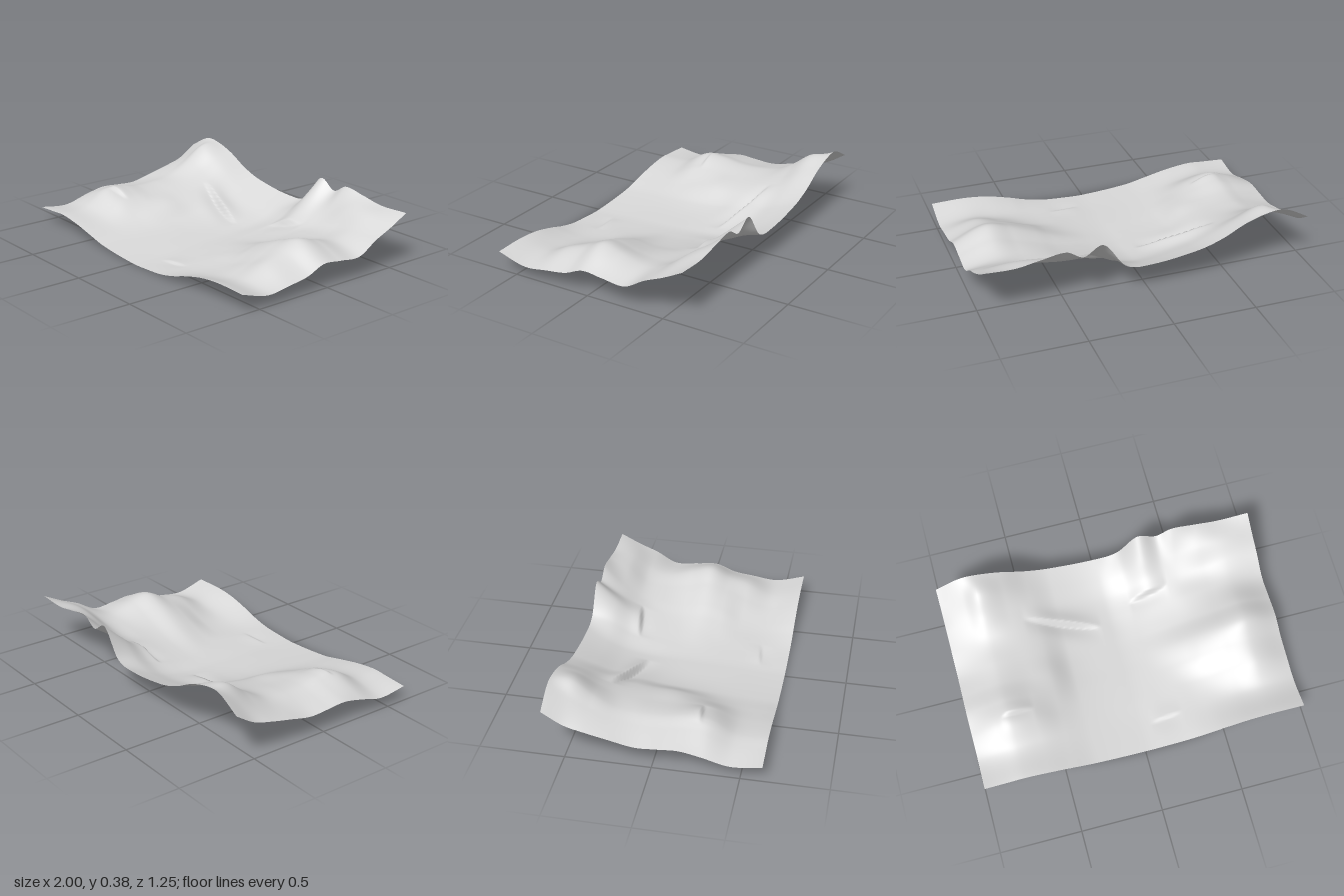
import * as THREE from 'three';

// Stations of the terrain cross-sections, and the height along x at each z
const XS = [-1, -0.85, -0.75, -0.6, -0.45, -0.3, 0, 0.15, 0.28, 0.4, 0.5, 0.65, 0.8, 1];
const SECTIONS = [
  { z: -0.623, y: [0.305, 0.38, 0.38, 0.335, 0.26, 0.212, 0.175, 0.2, 0.36, 0.305, 0.355, 0.335, 0.31, 0.315] },
  { z: -0.5, y: [0.23, 0.31, 0.365, 0.305, 0.23, 0.17, 0.125, 0.16, 0.25, 0.225, 0.24, 0.275, 0.28, 0.253] },
  { z: -0.38, y: [0.195, 0.245, 0.28, 0.24, 0.19, 0.13, 0.077, 0.1, 0.15, 0.155, 0.16, 0.18, 0.205, 0.202] },
  { z: -0.25, y: [0.165, 0.195, 0.21, 0.198, 0.165, 0.11, 0.052, 0.07, 0.095, 0.115, 0.135, 0.155, 0.17, 0.132] },
  { z: -0.1, y: [0.133, 0.17, 0.19, 0.175, 0.145, 0.078, 0.04, 0.05, 0.07, 0.095, 0.125, 0.17, 0.207, 0.142] },
  { z: 0.03, y: [0.138, 0.17, 0.19, 0.17, 0.14, 0.064, 0.034, 0.042, 0.066, 0.103, 0.144, 0.2, 0.238, 0.153] },
  { z: 0.15, y: [0.145, 0.185, 0.21, 0.175, 0.12, 0.056, 0.03, 0.035, 0.05, 0.08, 0.118, 0.165, 0.185, 0.108] },
  { z: 0.28, y: [0.12, 0.18, 0.208, 0.165, 0.092, 0.047, 0.024, 0.027, 0.036, 0.046, 0.066, 0.113, 0.15, 0.088] },
  { z: 0.44, y: [0.08, 0.11, 0.12, 0.1, 0.067, 0.038, 0.014, 0.018, 0.024, 0.032, 0.045, 0.067, 0.085, 0.071] },
  { z: 0.623, y: [0.1, 0.108, 0.113, 0.094, 0.062, 0.03, 0.006, 0.01, 0.02, 0.045, 0.075, 0.11, 0.124, 0.12] },
];
const ZS = SECTIONS.map((s) => s.z);

// Rock ledges: a line from a to b where the ground drops sharply to the front
const LEDGES = [
  { a: [-0.52, -0.335], b: [-0.06, -0.215], drop: 0.045 },
  { a: [0.15, -0.32], b: [0.4, -0.35], drop: 0.03 },
  { a: [-0.8, 0.24], b: [-0.6, 0.23], drop: 0.02 },
  { a: [0.08, 0.46], b: [0.28, 0.44], drop: 0.01 },
];

// Smooth curve through unevenly spaced values
function spline(ts, vs, t) {
  const n = ts.length;
  let i = 0;
  while (i < n - 2 && t > ts[i + 1]) i++;
  const slope = (k) => {
    const a = Math.max(k - 1, 0), b = Math.min(k + 1, n - 1);
    return (vs[b] - vs[a]) / (ts[b] - ts[a]);
  };
  const d = ts[i + 1] - ts[i];
  const u = THREE.MathUtils.clamp((t - ts[i]) / d, 0, 1);
  const u2 = u * u, u3 = u2 * u;
  return (2 * u3 - 3 * u2 + 1) * vs[i] + (u3 - 2 * u2 + u) * d * slope(i)
    + (3 * u2 - 2 * u3) * vs[i + 1] + (u3 - u2) * d * slope(i + 1);
}

// Raised just behind each ledge line, sunk just in front of it
function ledgeHeight(x, z) {
  let sum = 0;
  for (const { a, b, drop } of LEDGES) {
    const u = (x - a[0]) / (b[0] - a[0]);
    if (u <= 0 || u >= 1) continue;
    const behind = a[1] + (b[1] - a[1]) * u - z;
    const step = THREE.MathUtils.smoothstep(behind, -0.01, 0.01) - 0.5;
    sum += drop * Math.sin(Math.PI * u) * step * Math.exp(-((behind / 0.07) ** 2));
  }
  return sum;
}

export function createModel() {
  const group = new THREE.Group();
  group.name = 'terrain';
  const rock = new THREE.MeshStandardMaterial({ color: 0xd8d8d8, side: THREE.DoubleSide });
  rock.name = 'pale grey rock';

  // Valley floor with hills on both sides and a high back rim
  const ground = new THREE.PlaneGeometry(2, 1.246, 160, 120).rotateX(-Math.PI / 2);
  const p = ground.attributes.position;
  for (let i = 0; i < p.count; i++) {
    const x = p.getX(i), z = p.getZ(i);
    const column = SECTIONS.map((s) => spline(XS, s.y, x));
    p.setY(i, spline(ZS, column, z) + ledgeHeight(x, z));
  }
  ground.computeBoundingBox();
  ground.translate(0, -ground.boundingBox.min.y, 0);
  ground.computeVertexNormals();

  const mesh = new THREE.Mesh(ground, rock);
  mesh.name = 'valleySurface';
  group.add(mesh);
  return group;
}
